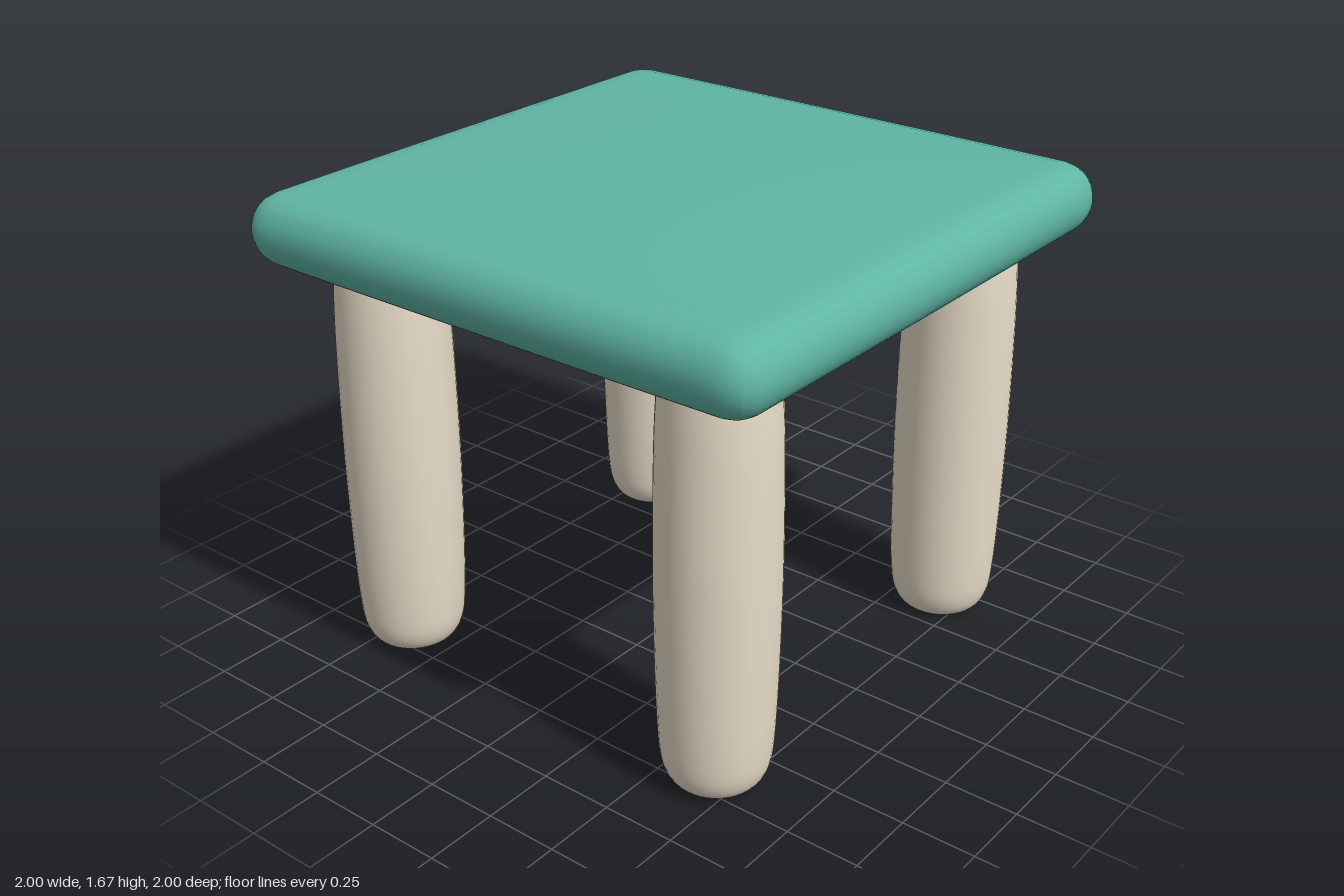
import * as THREE from 'three';
import { mergeVertices } from 'three/addons/utils/BufferGeometryUtils.js';

// Soft square slab: a box whose edges are rounded and whose faces swell slightly
function cushionSlab(half, radius, bulge) {
  const geo = new THREE.BoxGeometry(2, 2 * radius, 2, 32, 8, 32);
  geo.deleteAttribute('uv');
  geo.deleteAttribute('normal');
  const pos = geo.attributes.position;
  const p = new THREE.Vector3();
  const core = new THREE.Vector3();
  const inner = half - radius;
  for (let i = 0; i < pos.count; i++) {
    p.fromBufferAttribute(pos, i);
    // crowd the grid lines towards the rounded rim
    p.x = half * Math.sin(p.x * Math.PI / 2);
    p.z = half * Math.sin(p.z * Math.PI / 2);
    core.set(THREE.MathUtils.clamp(p.x, -inner, inner), 0, THREE.MathUtils.clamp(p.z, -inner, inner));
    p.sub(core).setLength(radius).add(core);
    p.y *= 1 + bulge * (1 - p.x * p.x) * (1 - p.z * p.z);
    pos.setXYZ(i, p.x, p.y, p.z);
  }
  const smooth = mergeVertices(geo, 1e-4);
  smooth.computeVertexNormals();
  return smooth;
}

// Plump round leg with softened ends
function legGeometry() {
  const outline = new THREE.SplineCurve([
    [0.1, 0], [0.14, 0.02], [0.168, 0.07], [0.181, 0.16], [0.19, 0.38], [0.195, 0.72],
    [0.192, 1.06], [0.185, 1.28], [0.174, 1.4], [0.15, 1.47], [0.1, 1.5],
  ].map(([r, y]) => new THREE.Vector2(r, y)));
  const profile = [
    new THREE.Vector2(0, 0), new THREE.Vector2(0.06, 0),
    ...outline.getPoints(40),
    new THREE.Vector2(0, 1.5),
  ];
  return new THREE.LatheGeometry(profile, 40);
}

export function createModel() {
  const model = new THREE.Group();
  model.name = 'table';

  const teal = new THREE.MeshStandardMaterial({ color: 0x5fb5a5 });
  const cream = new THREE.MeshStandardMaterial({ color: 0xe8dcc8 });

  // Tabletop
  const top = new THREE.Mesh(cushionSlab(1, 0.122, 0.15), teal);
  top.name = 'tabletop';
  top.position.y = 1.527;
  model.add(top);

  // Four legs
  const legShape = legGeometry();
  for (const [side, x] of [['Left', 1], ['Right', -1]]) {
    for (const [end, z] of [['front', 1], ['back', -1]]) {
      const leg = new THREE.Mesh(legShape, cream);
      leg.name = `${end}${side}Leg`;
      leg.position.set(x * 0.667, 0, z * 0.667);
      model.add(leg);
    }
  }
  return model;
}
